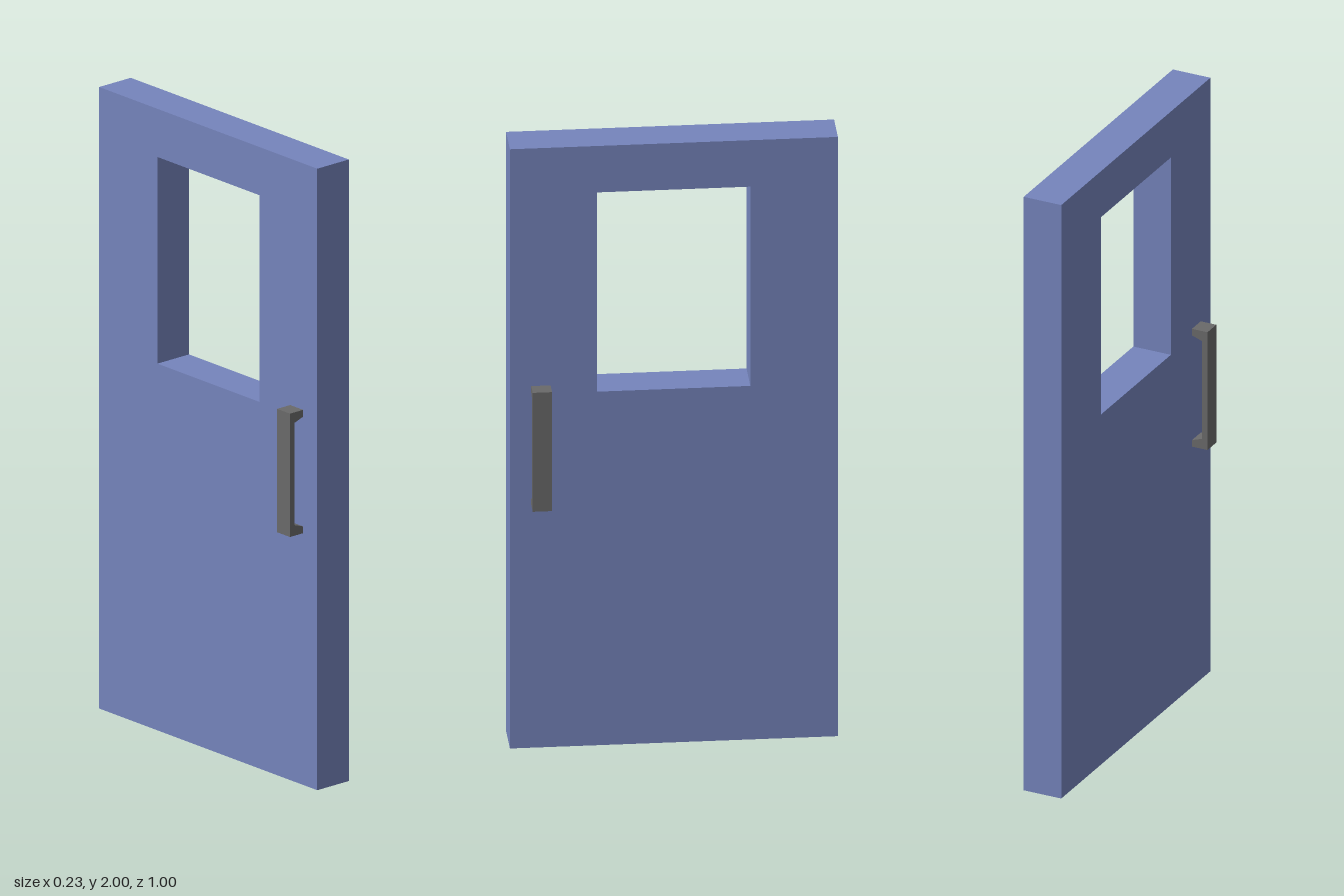
import * as THREE from 'three';

const DOOR_LEFT = 0.065, DOOR_RIGHT = -0.063;

// closed shape from corner points
function polygon(points) {
  return new THREE.Shape(points.map(([x, y]) => new THREE.Vector2(x, y)));
}

function rectangle(x0, y0, x1, y1) {
  return polygon([[x0, y0], [x1, y0], [x1, y1], [x0, y1]]);
}

// pull handle: flat upright bar on two legs that taper towards the door
function createHandle(name, face, outer, material) {
  const bottom = 0.81, top = 1.207, z0 = 0.376, z1 = 0.435;
  const inner = outer - Math.sign(outer) * 0.018;
  const atDoor = 0.022, atBar = 0.034;
  const shape = polygon([
    [face, bottom], [outer, bottom], [outer, top], [face, top],
    [face, top - atDoor], [inner, top - atBar],
    [inner, bottom + atBar], [face, bottom + atDoor],
  ]);
  const geometry = new THREE.ExtrudeGeometry(shape, { depth: z1 - z0, bevelEnabled: false });
  geometry.translate(0, 0, z0);
  const handle = new THREE.Mesh(geometry, material);
  handle.name = name;
  return handle;
}

export function createModel() {
  const model = new THREE.Group();
  model.name = 'door';
  const paint = new THREE.MeshStandardMaterial({ color: 0x7584bc });
  const metal = new THREE.MeshStandardMaterial({ color: 0x6a6a6a });

  // door panel with an open window; drawn in -z/y and extruded through its thickness
  const outline = rectangle(-0.5, 0, 0.5, 2);
  outline.holes.push(rectangle(-0.235, 1.18, 0.233, 1.845));
  const geometry = new THREE.ExtrudeGeometry(outline, {
    depth: DOOR_LEFT - DOOR_RIGHT, bevelEnabled: false,
  });
  geometry.rotateY(Math.PI / 2).translate(DOOR_RIGHT, 0, 0);
  const panel = new THREE.Mesh(geometry, paint);
  panel.name = 'doorPanel';
  model.add(panel);

  // one handle on each side
  model.add(createHandle('leftHandle', DOOR_LEFT, 0.115, metal));
  model.add(createHandle('rightHandle', DOOR_RIGHT, -0.116, metal));
  return model;
}
